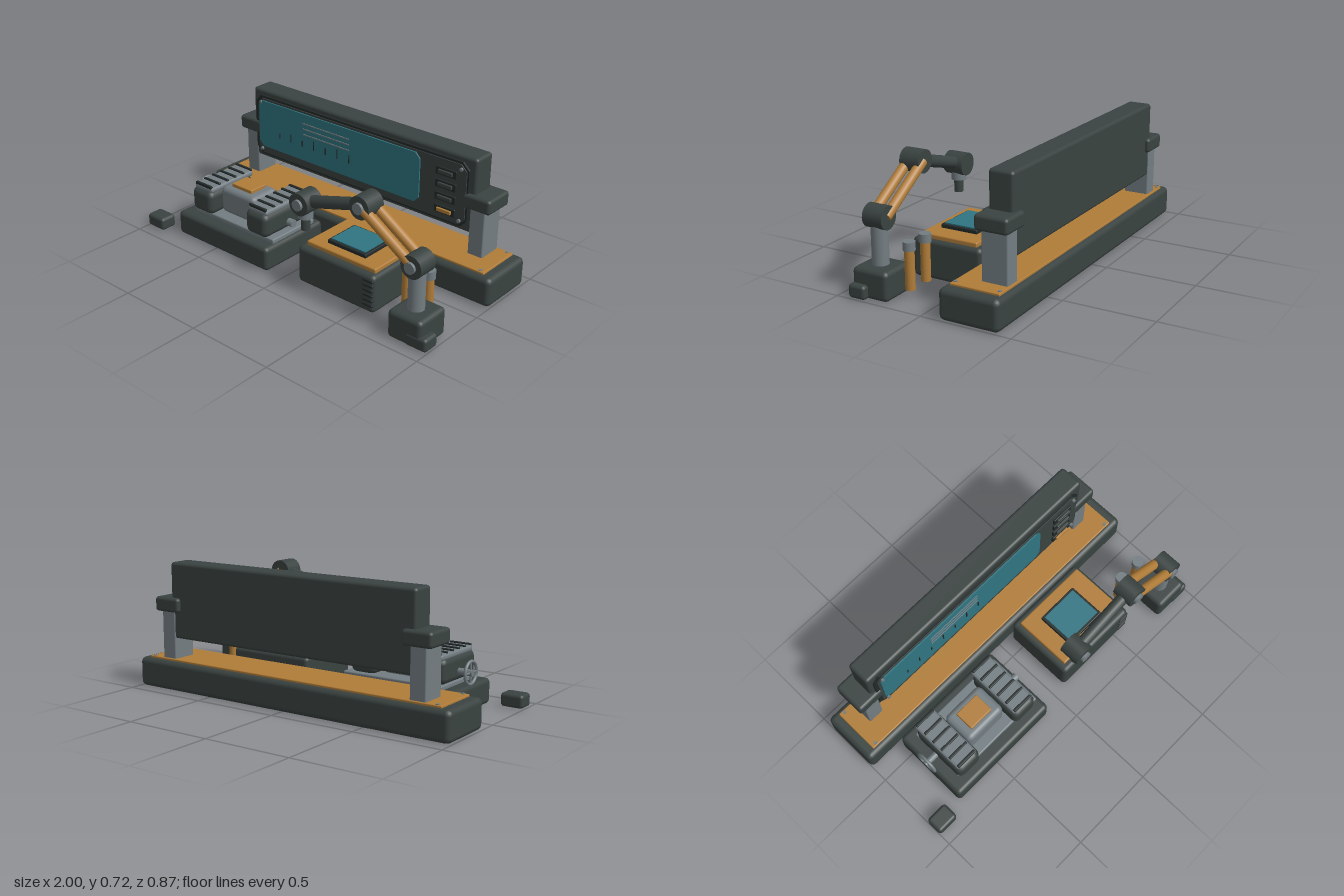
import * as THREE from 'three';
import { RoundedBoxGeometry } from 'three/addons/geometries/RoundedBoxGeometry.js';

const paint = (name, color) => {
  const m = new THREE.MeshStandardMaterial({ color });
  m.name = name;
  return m;
};

export function createModel() {
  const root = new THREE.Group();
  root.name = 'workbenchConsole';
  const dark = paint('charcoal', 0x3a4341);
  const black = paint('black', 0x222a29);
  const steel = paint('steel', 0x737d82);
  const amber = paint('amber', 0xb07c38);
  const teal = paint('teal', 0x2f7582);

  const add = (name, geo, mat, x = 0, y = 0, z = 0) => {
    const m = new THREE.Mesh(geo, mat);
    m.name = name;
    m.position.set(x, y, z);
    root.add(m);
    return m;
  };
  // Box from its limits, with rounded edges when r > 0
  const box = (name, mat, x0, x1, y0, y1, z0, z1, r = 0) => {
    const s = [x1 - x0, y1 - y0, z1 - z0];
    const geo = r ? new RoundedBoxGeometry(...s, 2, r) : new THREE.BoxGeometry(...s);
    return add(name, geo, mat, (x0 + x1) / 2, (y0 + y1) / 2, (z0 + z1) / 2);
  };
  // Cylinder between two points
  const rod = (name, mat, a, b, r, sides = 24) => {
    const p = new THREE.Vector3(...a), q = new THREE.Vector3(...b);
    const d = q.clone().sub(p);
    const m = add(name, new THREE.CylinderGeometry(r, r, d.length(), sides), mat);
    m.position.copy(p).add(q).multiplyScalar(0.5);
    m.quaternion.setFromUnitVectors(new THREE.Vector3(0, 1, 0), d.normalize());
    return m;
  };
  // Upright plate with cut corners
  const plate = (name, mat, x0, x1, y0, y1, z0, z1, c) => {
    const s = new THREE.Shape([
      [x0 + c, y0], [x1 - c, y0], [x1, y0 + c], [x1, y1 - c],
      [x1 - c, y1], [x0 + c, y1], [x0, y1 - c], [x0, y0 + c],
    ].map(([x, y]) => new THREE.Vector2(x, y)));
    return add(name, new THREE.ExtrudeGeometry(s, { depth: z1 - z0, bevelEnabled: false }), mat, 0, 0, z0);
  };

  // Rear bench
  box('benchBase', dark, -1, 1, 0, 0.166, -0.432, -0.098, 0.03);
  box('benchTop', amber, -0.94, 0.94, 0.16, 0.177, -0.405, -0.13, 0.005);
  for (const x of [-0.91, 0.91]) for (const z of [-0.39, -0.145])
    rod('benchBolt', steel, [x, 0.17, z], [x, 0.181, z], 0.01, 8);

  // Posts, brackets and corner feet
  for (const s of [-1, 1]) {
    box('post', steel, s * 0.802 - 0.046, s * 0.802 + 0.046, 0.17, 0.46, -0.395, -0.25, 0.008);
    box('bracket', dark, s * 0.8 - 0.085, s * 0.8 + 0.085, 0.438, 0.52, -0.415, -0.23, 0.018);
    box('cornerFoot', dark, s * 0.935 - 0.065, s * 0.935 + 0.065, 0.003, 0.077, 0.333, 0.433, 0.018);
  }

  // Display panel
  box('displayCase', dark, -0.785, 0.785, 0.292, 0.716, -0.39, -0.252, 0.018);
  plate('displayBezel', black, -0.755, 0.745, 0.318, 0.684, -0.26, -0.24, 0.04);
  plate('displayFace', dark, -0.735, 0.735, 0.33, 0.672, -0.245, -0.234, 0.035);
  plate('displayScreen', teal, -0.72, 0.445, 0.375, 0.66, -0.235, -0.226, 0.03);
  for (const y of [0.603, 0.57, 0.537])
    box('screenLine', steel, -0.375, -0.035, y - 0.003, y + 0.003, -0.227, -0.222);
  [0.03, 0.05, 0.035, 0.055, 0.04, 0.06, 0.05].forEach((h, i) => {
    const x = -0.555 + i * 0.087;
    box('screenBar', black, x - 0.003, x + 0.003, 0.46, 0.46 + h, -0.227, -0.222);
  });
  // Keys beside the screen
  [0.605, 0.532, 0.46, 0.387].forEach((y, i) => {
    box('keySurround', black, 0.55, 0.68, y - 0.022, y + 0.022, -0.236, -0.222, 0.004);
    box('key', i === 3 ? amber : dark, 0.57, 0.66, y - 0.011, y + 0.011, -0.226, -0.211, 0.004);
  });
  for (const x of [-0.705, 0.705]) for (const y of [0.355, 0.648])
    rod('bezelScrew', steel, [x, y, -0.236], [x, y, -0.222], 0.01, 8);

  // Left machine
  box('machineBase', dark, -0.795, -0.1, 0, 0.14, -0.08, 0.375, 0.025);
  box('machineDeck', steel, -0.725, -0.12, 0.13, 0.162, -0.03, 0.3, 0.008);
  box('machineBody', steel, -0.575, -0.315, 0.16, 0.32, 0.05, 0.245, 0.03);
  box('bodyCap', amber, -0.52, -0.37, 0.31, 0.34, 0.09, 0.205, 0.005);
  for (const x of [-0.65, -0.23]) {
    box('drum', dark, x - 0.079, x + 0.079, 0.158, 0.298, -0.015, 0.325, 0.035);
    box('drumCap', steel, x - 0.07, x + 0.07, 0.285, 0.32, -0.025, 0.305, 0.015);
    for (let i = 0; i < 6; i++) {
      const z = -0.015 + i * 0.062;
      box('drumRib', black, x - 0.062, x + 0.062, 0.3, 0.328, z - 0.008, z + 0.008, 0.004);
    }
  }
  // Handwheel and shaft
  const wheel = add('handwheel', new THREE.TorusGeometry(0.06, 0.009, 8, 28), steel, -0.797, 0.21, 0.14);
  wheel.rotation.y = Math.PI / 2;
  rod('wheelShaft', steel, [-0.81, 0.21, 0.14], [-0.7, 0.21, 0.14], 0.018, 16);
  rod('wheelSpoke', steel, [-0.797, 0.15, 0.14], [-0.797, 0.27, 0.14], 0.006, 8);
  rod('wheelSpoke', steel, [-0.797, 0.21, 0.08], [-0.797, 0.21, 0.2], 0.006, 8);
  rod('sideKnob', steel, [-0.17, 0.2, 0.14], [-0.115, 0.2, 0.14], 0.022, 16);

  // Right console
  box('consoleBase', dark, 0.08, 0.595, 0, 0.216, -0.087, 0.325, 0.025);
  box('consoleTop', amber, 0.113, 0.573, 0.21, 0.24, -0.052, 0.287, 0.008);
  box('consoleFrame', black, 0.21, 0.465, 0.235, 0.26, 0.015, 0.233, 0.005);
  box('consoleScreen', teal, 0.225, 0.45, 0.257, 0.266, 0.03, 0.218);
  for (let i = 0; i < 6; i++)
    box('consoleVent', black, 0.525, 0.588, 0.04 + i * 0.028, 0.053 + i * 0.028, 0.31, 0.33, 0.004);
  rod('connector', dark, [0.335, 0.065, -0.11], [0.335, 0.065, -0.07], 0.016, 12);

  // Arm stand
  box('armBase', dark, 0.76, 0.965, 0, 0.157, 0.22, 0.43, 0.025);
  rod('armColumn', steel, [0.86, 0.14, 0.328], [0.86, 0.37, 0.328], 0.044);

  // Arm joints and links
  const joints = [[0.86, 0.405], [0.54, 0.61], [0.145, 0.495]];
  for (const [x, y] of joints) {
    rod('joint', dark, [x, y, 0.27], [x, y, 0.385], 0.062);
    rod('jointHub', steel, [x, y, 0.38], [x, y, 0.4], 0.03);
  }
  const [a, b, c] = joints;
  for (const z of [0.285, 0.367]) rod('lowerLink', amber, [...a, z], [...b, z], 0.027, 16);
  rod('upperLink', dark, [...b, 0.328], [...c, 0.328], 0.033, 16);

  // Tool head
  rod('toolCollar', steel, [0.145, 0.405, 0.328], [0.145, 0.45, 0.328], 0.04);
  rod('toolTip', dark, [0.145, 0.335, 0.328], [0.145, 0.41, 0.328], 0.025);

  // Two canisters beside the console
  for (const x of [0.69, 0.825]) {
    rod('canister', amber, [x, 0.037, 0.178], [x, 0.247, 0.178], 0.026);
    rod('canisterCap', steel, [x, 0.245, 0.178], [x, 0.291, 0.178], 0.032);
  }
  return root;
}
